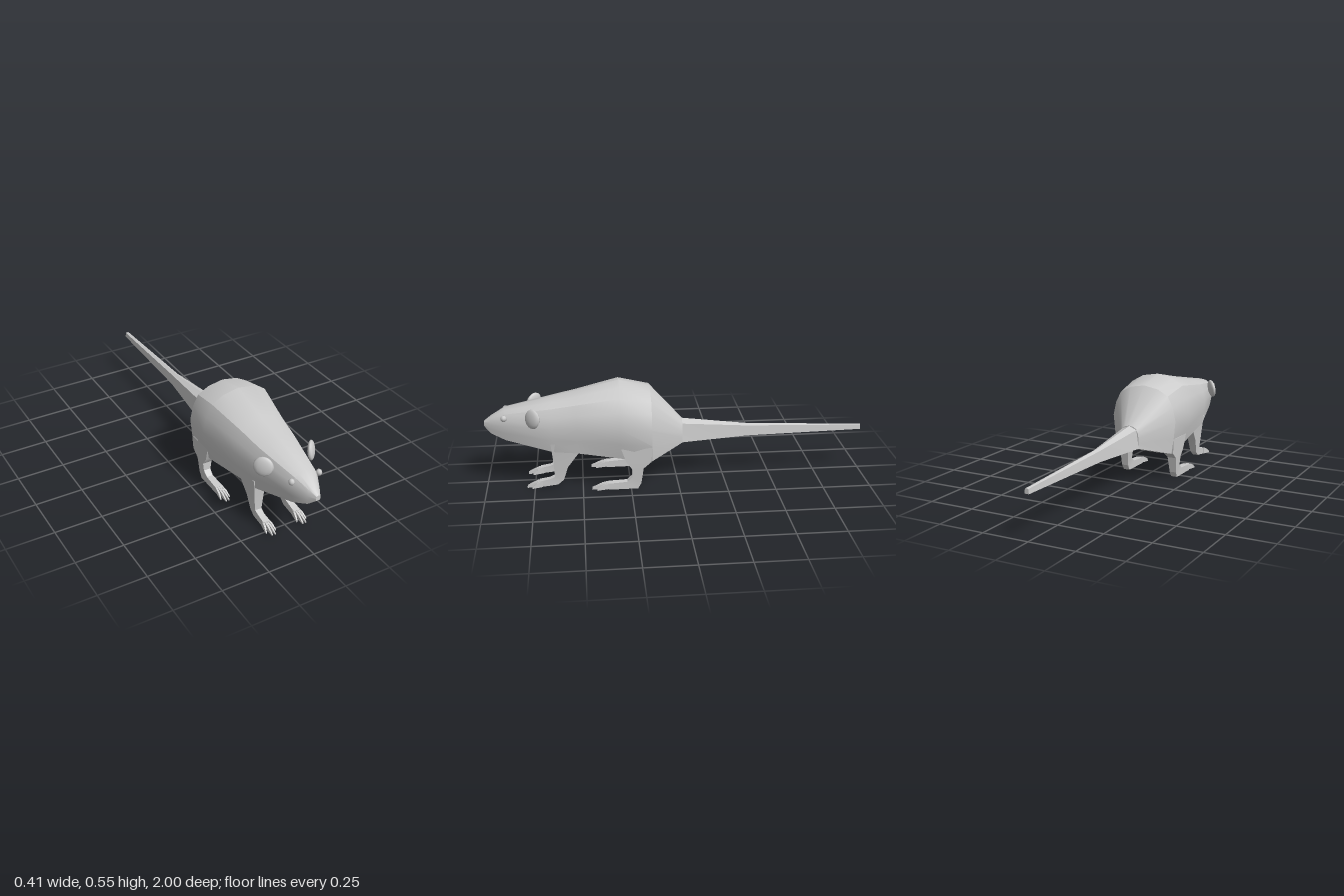
import * as THREE from 'three';
import { toCreasedNormals } from 'three/addons/utils/BufferGeometryUtils.js';

const { lerp } = THREE.MathUtils;
const material = new THREE.MeshStandardMaterial({ color: 0xcccccc });

// Closed skin through rings of [x, y, z]; rings run counter-clockwise seen from the far end.
function loft(name, rings, crease) {
  const n = rings[0].length;
  const index = [];
  for (let i = 0; i < rings.length - 1; i++) {
    for (let j = 0; j < n; j++) {
      const a = i * n + j, b = i * n + (j + 1) % n;
      index.push(a, b, b + n, a, b + n, a + n);
    }
  }
  const last = (rings.length - 1) * n;
  for (let j = 1; j < n - 1; j++) {
    index.push(0, j + 1, j, last, last + j, last + j + 1);
  }
  const geometry = new THREE.BufferGeometry();
  geometry.setAttribute('position', new THREE.Float32BufferAttribute(rings.flat(2), 3));
  geometry.setIndex(index);
  const mesh = new THREE.Mesh(toCreasedNormals(geometry, crease), material);
  mesh.name = name;
  return mesh;
}

// Symmetric ring from a half outline running top to bottom.
function mirrorRing(z, half) {
  const right = half.map(([x, y]) => [-x, y, z]);
  const left = half.slice(1, -1).reverse().map(([x, y]) => [x, y, z]);
  return [...right, ...left];
}

// Body section: a domed back over the widest line, sides tapering to a corner, flat belly.
function bodyRing([z, width, top, mid, cornerX, cornerY, belly]) {
  const dome = [[0, 1], [0.44, 0.92], [0.75, 0.74], [0.91, 0.42], [1, 0]];
  return mirrorRing(z, [
    ...dome.map(([u, v]) => [u * width, lerp(mid, top, v)]),
    [lerp(width, cornerX, 0.4), lerp(mid, cornerY, 0.5)],
    [cornerX, cornerY],
    [cornerX / 2, belly - 0.003],
    [0, belly],
  ]);
}

// Four-sided limb; rows are [front z, front y, back z, back y, inner x, outer x].
function limb(name, side, rows) {
  const rings = rows.map(([fz, fy, bz, by, inner, outer]) => {
    const lo = side > 0 ? inner : -outer, hi = side > 0 ? outer : -inner;
    return [[hi, by, bz], [hi, fy, fz], [lo, fy, fz], [lo, by, bz]];
  });
  return loft(name, rings, 0.35);
}

// Leg with four toes fanning out from the end of the foot.
function leg(name, side, rows, tipZ, spreadIn, spreadOut) {
  const group = new THREE.Group();
  group.name = name;
  group.add(limb(name + 'Limb', side, rows));
  const [, topY, footZ, , inner, outer] = rows[rows.length - 1];
  for (let i = 0; i < 4; i++) {
    const x0 = lerp(inner, outer, (i + 0.5) / 4);
    const x1 = lerp(spreadIn + 0.003, spreadOut - 0.003, i / 3);
    const tip = tipZ - (i === 0 || i === 3 ? 0.025 : 0);
    const midZ = (footZ + tip) / 2, midX = (x0 + x1) / 2;
    group.add(limb('toe', side, [
      [footZ - 0.005, topY, footZ - 0.005, 0.004, x0 - 0.005, x0 + 0.005],
      [midZ, topY * 0.75, midZ, 0.002, midX - 0.005, midX + 0.005],
      [tip, 0.007, tip, 0, x1 - 0.003, x1 + 0.003],
    ]));
  }
  return group;
}

function ellipsoid(name, radii, position, segments) {
  const mesh = new THREE.Mesh(new THREE.SphereGeometry(1, segments, segments - 2), material);
  mesh.name = name;
  mesh.scale.set(...radii);
  mesh.position.set(...position);
  return mesh;
}

export function createModel() {
  const model = new THREE.Group();
  model.name = 'rodent';

  // Body and head, rump to nose: [z, half width, top, widest y, corner x, corner y, belly y]
  const body = [
    [-0.03, 0.055, 0.325, 0.26, 0.056, 0.205, 0.205],
    [0.14, 0.188, 0.51, 0.33, 0.165, 0.15, 0.15],
    [0.3, 0.203, 0.547, 0.345, 0.16, 0.17, 0.143],
    [0.52, 0.155, 0.495, 0.34, 0.14, 0.2, 0.203],
    [0.65, 0.134, 0.467, 0.335, 0.12, 0.205, 0.206],
    [0.89, 0.076, 0.417, 0.34, 0.062, 0.258, 0.258],
    [0.965, 0.035, 0.374, 0.33, 0.032, 0.287, 0.288],
    [1, 0.012, 0.346, 0.334, 0.011, 0.321, 0.321],
  ];
  model.add(loft('body', body.map(bodyRing), 0.55));

  // Tail: [z, half width, top, shoulder, bottom]
  const tail = [
    [-1, 0.012, 0.252, 0.25, 0.226],
    [-0.38, 0.022, 0.28, 0.272, 0.217],
    [-0.025, 0.056, 0.324, 0.306, 0.205],
  ];
  model.add(loft('tail', tail.map(([z, w, top, shoulder, bottom]) =>
    mirrorRing(z, [[0, top], [w * 0.75, shoulder], [w, bottom], [0, bottom]])), 0.4));

  for (const side of [1, -1]) {
    const label = side > 0 ? 'left' : 'right';

    model.add(leg(label + 'FrontLeg', side, [
      [0.66, 0.25, 0.5, 0.25, 0.06, 0.128],
      [0.655, 0.2, 0.52, 0.19, 0.06, 0.12],
      [0.648, 0.12, 0.575, 0.115, 0.065, 0.113],
      [0.645, 0.058, 0.6, 0.04, 0.07, 0.106],
      [0.672, 0.046, 0.63, 0.014, 0.072, 0.105],
      [0.725, 0.036, 0.715, 0.005, 0.07, 0.107],
    ], 0.79, 0.06, 0.118));

    model.add(leg(label + 'HindLeg', side, [
      [0.3, 0.23, 0.14, 0.23, 0.11, 0.178],
      [0.275, 0.155, 0.145, 0.15, 0.115, 0.174],
      [0.243, 0.11, 0.185, 0.115, 0.122, 0.172],
      [0.243, 0.065, 0.198, 0.03, 0.129, 0.167],
      [0.27, 0.04, 0.215, 0, 0.13, 0.165],
      [0.365, 0.034, 0.37, 0, 0.127, 0.167],
    ], 0.452, 0.12, 0.175));

    // Thin round ear, turned outwards and leaning in at the top
    const ear = ellipsoid(label + 'Ear', [0.05, 0.05, 0.017], [side * 0.134, 0.395, 0.745], 12);
    ear.rotation.set(0, side * 0.82, side * 0.2, 'ZYX');
    model.add(ear);

    model.add(ellipsoid(label + 'Eye', [0.015, 0.017, 0.016], [side * 0.076, 0.381, 0.893], 8));
  }
  return model;
}
